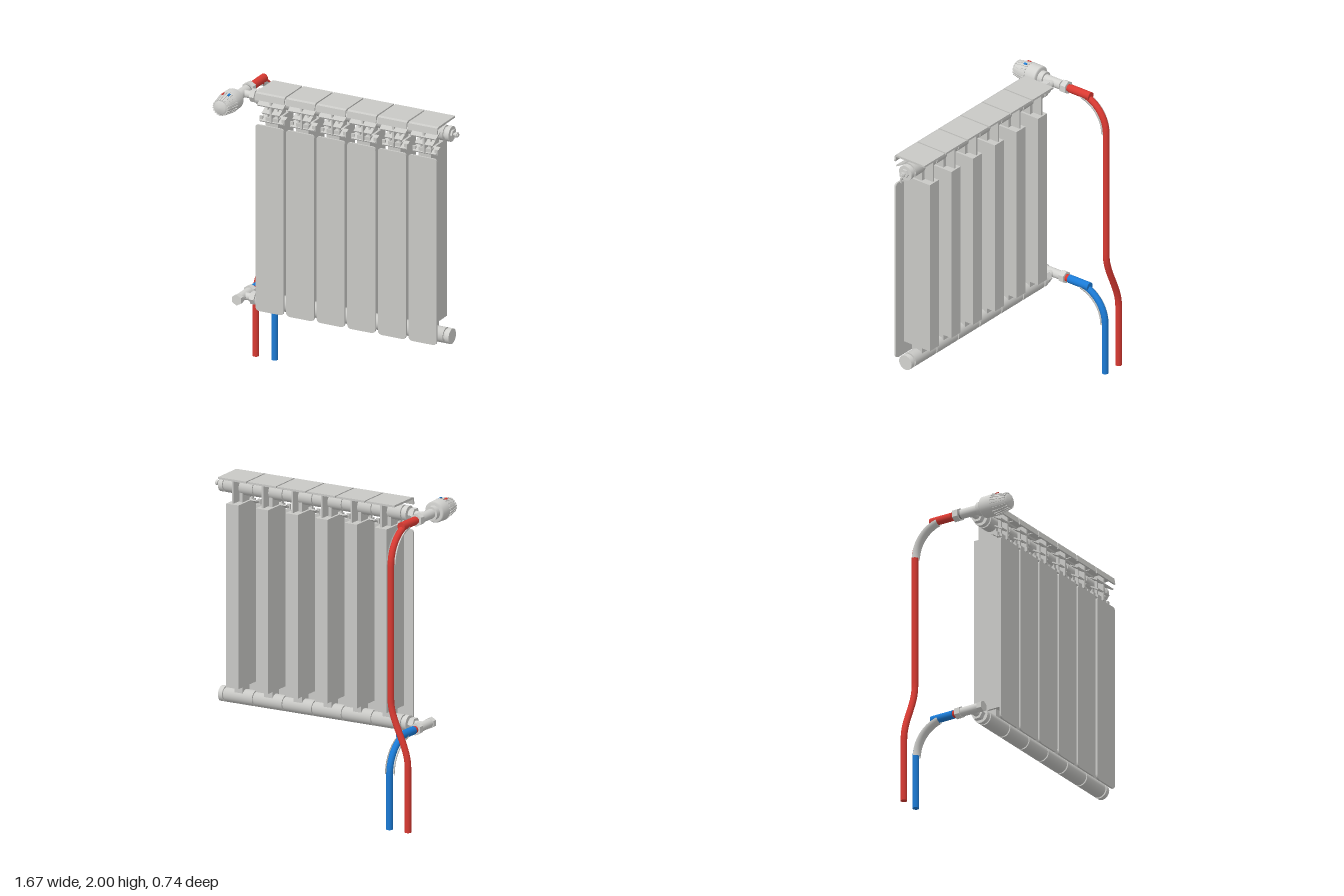
import * as THREE from 'three';
import { ParametricGeometry } from 'three/addons/geometries/ParametricGeometry.js';

const mat = (name, color, side = THREE.FrontSide) => {
  const m = new THREE.MeshStandardMaterial({ color, side });
  m.name = name;
  return m;
};
const V = (x, y, z) => new THREE.Vector3(x, y, z);

export function createModel() {
  const root = new THREE.Group();
  root.name = 'radiator';
  const grey = mat('enamelGrey', 0xc8c8c5, THREE.DoubleSide);
  const fitting = mat('fittingGrey', 0xd2d2cf, THREE.DoubleSide);
  const dark = mat('threadGrey', 0x8c8c8a);
  const red = mat('hotRed', 0xd93a32);
  const blue = mat('coldBlue', 0x1b7bd6);

  const HZ = 0.063, TOP = 1.925, LOW = 0.572, PITCH = 0.2155, W = 0.205, X0 = -0.437;

  const add = (parent, name, geo, m, x = 0, y = 0, z = 0) => {
    const mesh = new THREE.Mesh(geo, m);
    mesh.name = name;
    mesh.position.set(x, y, z);
    parent.add(mesh);
    return mesh;
  };
  const box = (p, name, w, h, d, x, y, z, m = grey) => add(p, name, new THREE.BoxGeometry(w, h, d), m, x, y, z);
  // cylinder spanning a..b along the x or z axis
  const rod = (p, name, axis, r, a, b, u, v, m = fitting, seg = 28) => {
    const g = new THREE.CylinderGeometry(r, r, b - a, seg);
    if (seg === 6) {
      const flat = g.toNonIndexed();
      flat.computeVertexNormals();
      g.copy(flat);
    }
    const c = (a + b) / 2;
    if (axis === 'x') return add(p, name, g.rotateZ(-Math.PI / 2), m, c, u, v);
    return add(p, name, g.rotateX(Math.PI / 2), m, u, v, c);
  };
  const group = (name) => {
    const g = new THREE.Group();
    g.name = name;
    root.add(g);
    return g;
  };

  // front panel outline: rounded rectangle
  const pw = 0.099, y0 = 0.543, y1 = 1.788, rb = 0.03, rt = 0.022;
  const s = new THREE.Shape();
  s.moveTo(-pw + rb, y0);
  s.lineTo(pw - rb, y0);
  s.quadraticCurveTo(pw, y0, pw, y0 + rb);
  s.lineTo(pw, y1 - rt);
  s.quadraticCurveTo(pw, y1, pw - rt, y1);
  s.lineTo(-pw + rt, y1);
  s.quadraticCurveTo(-pw, y1, -pw, y1 - rt);
  s.lineTo(-pw, y0 + rb);
  s.quadraticCurveTo(-pw, y0, -pw + rb, y0);
  const panelGeo = new THREE.ExtrudeGeometry(s, { depth: 0.012, bevelEnabled: false, curveSegments: 6 });

  // top cover cross-section in (z, y): thin plate with a front lip and a short rear lip
  const cap = new THREE.Shape([[-0.055, 1.985], [-0.055, 1.998], [0.165, 2], [0.18, 1.993], [0.187, 1.952],
    [0.178, 1.95], [0.168, 1.985], [-0.045, 1.986]].map(([z, y]) => new THREE.Vector2(-z, y)));
  const capGeo = new THREE.ExtrudeGeometry(cap, { depth: W, bevelEnabled: false });
  capGeo.rotateY(Math.PI / 2).translate(-W / 2, 0, 0);

  // gusset under the cover
  const gus = new THREE.Shape([[-0.045, 1.84], [-0.045, 1.987], [0.17, 1.987], [0.172, 1.81], [0.155, 1.8],
    [0.095, 1.84]].map(([z, y]) => new THREE.Vector2(-z, y)));
  const gussetGeo = new THREE.ExtrudeGeometry(gus, { depth: 0.012, bevelEnabled: false });
  gussetGeo.rotateY(Math.PI / 2).translate(-0.006, 0, 0);

  for (let i = 0; i < 6; i++) {
    const g = group('section' + (i + 1));
    g.position.x = X0 + i * PITCH;
    add(g, 'frontPanel', panelGeo, grey, 0, 0, 0.174);
    add(g, 'topCover', capGeo, grey);
    add(g, 'gusset', gussetGeo, grey);
    // water column with narrower necks into both headers
    box(g, 'column', 0.09, 1.185, 0.207, 0, 1.2425, 0.0515);
    box(g, 'lowerNeck', 0.06, 0.1, 0.08, 0, 0.61, HZ);
    box(g, 'upperNeck', 0.06, 0.1, 0.08, 0, 1.87, HZ);
    for (const y of [LOW, TOP]) rod(g, 'header', 'x', 0.05, -W / 2, W / 2, y, HZ, grey);
    // tilted vent slats and their ribs
    for (const [y, w, z] of [[1.93, 0.182, 0.15], [1.878, 0.125, 0.14], [1.82, 0.165, 0.13]]) {
      box(g, 'ventSlat', w, 0.009, 0.065, 0, y, z).rotation.x = 0.5;
    }
    for (const k of [-1, 1]) {
      box(g, 'ventRib', 0.01, 0.155, 0.02, k * 0.035, 1.872, 0.135);
      box(g, 'ventTab', 0.022, 0.035, 0.012, k * 0.078, 1.818, 0.145);
    }
  }

  // header joints and end plugs
  for (const [y, name] of [[TOP, 'upper'], [LOW, 'lower']]) {
    const g = group(name + 'EndFittings');
    rod(g, 'headerCore', 'x', 0.041, -0.56, 0.76, y, HZ, grey);
    rod(g, 'rightPlug', 'x', 0.05, -0.58, -0.55, y, HZ);
    rod(g, 'leftPlug', 'x', 0.05, 0.755, 0.785, y, HZ);
    rod(g, 'unionNeck', 'x', 0.024, -0.69, -0.57, y, HZ);
    rod(g, 'unionNut', 'x', 0.043, -0.625, -0.592, y, HZ, fitting, 6);
  }
  const vent = group('airVent');
  rod(vent, 'ventNut', 'x', 0.03, 0.78, 0.797, TOP, HZ, fitting, 6);
  rod(vent, 'ventStem', 'x', 0.01, 0.79, 0.83, TOP, HZ);
  rod(vent, 'ventKnob', 'x', 0.017, 0.81, 0.824, TOP, HZ);

  // thermostatic valve
  const VX = -0.695, BX = -0.685;
  const valve = group('thermostaticValve');
  rod(valve, 'valveBody', 'z', 0.031, 0, 0.14, VX, TOP);
  rod(valve, 'thread', 'z', 0.028, -0.02, 0.015, VX, TOP, dark);
  rod(valve, 'pipeNut', 'z', 0.043, -0.052, -0.012, VX, TOP, fitting, 6);
  rod(valve, 'headCollar', 'z', 0.045, 0.128, 0.168, VX, TOP);
  const knob = [[0, 0.163], [0.06, 0.163], [0.068, 0.172], [0.07, 0.24], [0.064, 0.25], [0.06, 0.3], [0.05, 0.345],
    [0.038, 0.362], [0, 0.365]].map(([r, z]) => new THREE.Vector2(r, z));
  add(valve, 'knob', new THREE.LatheGeometry(knob, 40).rotateX(Math.PI / 2), fitting, VX, TOP, 0);
  for (let i = 0; i < 20; i++) {
    const a = (i + 0.5) * Math.PI / 10;
    const pivot = new THREE.Group();
    pivot.name = 'knobRib';
    pivot.position.set(VX, TOP, 0);
    pivot.rotation.z = a;
    valve.add(pivot);
    box(pivot, 'rib', 0.01, 0.012, 0.105, 0, 0.056, 0.3, fitting).rotation.x = 0.17;
  }
  for (const [dx, m] of [[-0.02, red], [0.02, blue]]) {
    const mark = box(valve, 'temperatureMark', 0.012, 0.008, 0.024, VX + dx, TOP + 0.064, 0.275, m);
    mark.rotation.z = -dx * 15;
  }

  // lockshield valve
  const lock = group('returnValve');
  rod(lock, 'valveBody', 'z', 0.029, -0.02, 0.13, BX, LOW);
  rod(lock, 'valveCap', 'z', 0.036, 0.122, 0.155, BX, LOW, fitting, 6);
  rod(lock, 'pipeNut', 'z', 0.04, -0.045, -0.008, BX, LOW, fitting, 6);

  // pipes: straight run back, quarter bend down, then the drop to the floor
  const R = 0.22, PZ = -0.352;
  const bend = (x, y, t) => V(x, y - R + R * Math.cos(t), PZ + R - R * Math.sin(t));
  const makePipe = (name, x, y, m, tail) => {
    const g = group(name);
    const path = new THREE.CurvePath();
    const pts = [V(x, y, -0.03)];
    for (let i = 0; i <= 12; i++) pts.push(bend(x, y, i / 12 * Math.PI / 2));
    pts.push(...tail);
    for (let i = 1; i < pts.length; i++) path.add(new THREE.LineCurve3(pts[i - 1], pts[i]));
    add(g, 'pipe', new THREE.TubeGeometry(path, 240, 0.021, 16), m);
    // flat floor end
    const end = pts[pts.length - 1];
    add(g, 'pipeEnd', new THREE.CircleGeometry(0.021, 16).rotateX(Math.PI / 2), m, end.x, 0.0005, end.z);
    rod(g, 'sleeve', 'z', 0.027, -0.23, -0.068, x, y, m);
    rod(g, 'sealRing', 'z', 0.023, -0.068, -0.045, x, y, red);
    // half-round cradle on the inside of the bend
    const cradle = new ParametricGeometry((u, v, out) => {
      const t = 0.2 + u * (Math.PI / 2 - 0.2), a = v * Math.PI;
      const n = Math.sin(a) * 0.031;
      out.copy(bend(x, y, t));
      out.x += Math.cos(a) * 0.033;
      out.y -= Math.cos(t) * n;
      out.z += Math.sin(t) * n;
    }, 20, 14);
    add(g, 'bendCradle', cradle, fitting);
  };
  const sway = [];
  for (let i = 0; i <= 20; i++) {
    const k = i / 20;
    sway.push(V(VX - 0.124 * k * k * (3 - 2 * k), 0.84 - 0.42 * k, PZ));
  }
  makePipe('hotPipe', VX, TOP, red, [...sway, V(VX - 0.124, 0, PZ)]);
  makePipe('coldPipe', BX, LOW, blue, [V(BX, 0, PZ)]);

  return root;
}
